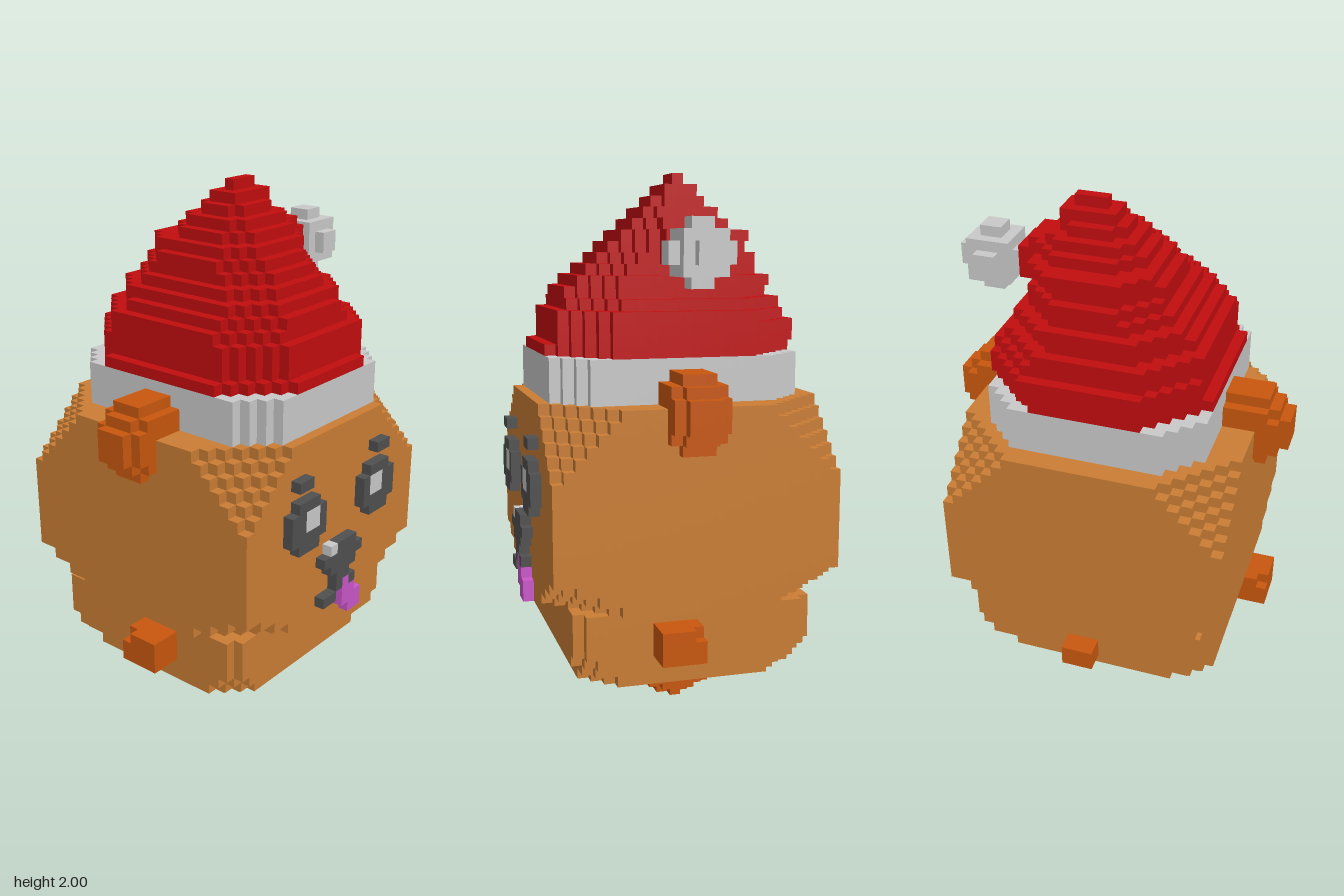
import * as THREE from 'three';

const U = 2 / 48; // size of one cube; all positions below are counted in cubes

const paint = (name, color) => {
  const m = new THREE.MeshStandardMaterial({ color });
  m.name = name;
  return m;
};

// Outer faces of all cubes within the bounds [x0, x1, y0, y1, z0, z1] that pass the test
function cubes(name, material, bounds, test = () => true) {
  const [x0, x1, y0, y1, z0, z1] = bounds;
  const inside = (x, y, z) =>
    x > x0 && x < x1 && y > y0 && y < y1 && z > z0 && z < z1 && test(x, y, z);
  const pos = [], nor = [], index = [];
  const addFace = (c, axis, side) => {
    const a = (axis + 1) % 3, b = (axis + 2) % 3, start = pos.length / 3;
    for (const [s, t] of [[-1, -1], [1, -1], [1, 1], [-1, 1]]) {
      const p = [...c], n = [0, 0, 0];
      p[axis] += side / 2;
      p[a] += s / 2;
      p[b] += t / 2;
      n[axis] = side;
      pos.push(...p.map((v) => v * U));
      nor.push(...n);
    }
    const order = side > 0 ? [0, 1, 2, 0, 2, 3] : [0, 2, 1, 0, 3, 2];
    index.push(...order.map((i) => start + i));
  };
  for (let x = x0 + 0.5; x < x1; x++)
    for (let y = y0 + 0.5; y < y1; y++)
      for (let z = z0 + 0.5; z < z1; z++) {
        if (!inside(x, y, z)) continue;
        for (let axis = 0; axis < 3; axis++)
          for (const side of [-1, 1]) {
            const n = [x, y, z];
            n[axis] += side;
            if (!inside(...n)) addFace([x, y, z], axis, side);
          }
      }
  const g = new THREE.BufferGeometry();
  g.setAttribute('position', new THREE.Float32BufferAttribute(pos, 3));
  g.setAttribute('normal', new THREE.Float32BufferAttribute(nor, 3));
  g.setIndex(index);
  const mesh = new THREE.Mesh(g, material);
  mesh.name = name;
  return mesh;
}

// Distance of a cube centre from the nearer of two ends
const edge = (v, lo, hi) => Math.min(v - lo, hi - v);

export function createModel() {
  const fur = paint('fur', 0xca7d34);
  const orange = paint('darkOrange', 0xc8570e);
  const red = paint('hatRed', 0xc20d0f);
  const white = paint('white', 0xc9c9c9);
  const dark = paint('charcoal', 0x505050);
  const pink = paint('tonguePink', 0xc957c9);

  const model = new THREE.Group();
  model.name = 'toyAnimal';
  const add = (...args) => model.add(cubes(...args));

  // Head: a block with stepped corners
  add('head', fur, [-13, 13, 10, 28, -13.5, 12.5], (x, y, z) => {
    const dx = edge(x, -13, 13), dz = edge(z, -13.5, 12.5);
    return dx + dz + 28 - y > 7.4 && (dx + dz) / 6 + (y - 10) / 3 > 1.25;
  });

  // Body: narrower block, drawn in by one cube at the bottom
  add('body', fur, [-12, 12, 3, 10, -11.5, 10.5], (x, y, z) => {
    const dx = edge(x, -12, 12), dz = edge(z, -11.5, 10.5);
    return dx + dz > 1.2 && (y > 5 || Math.min(dx, dz) > 1) && dx + dz + (y - 3) * 1.5 > 6;
  });

  // Ears, arms and feet, mirrored
  for (const s of [-1, 1]) {
    const side = s > 0 ? 'left' : 'right';
    const span = (a, b) => (s > 0 ? [a, b] : [-b, -a]);
    add(side + 'Ear', orange, [...span(9, 16), 24, 31, -3.5, 3.5], (x, y, z) =>
      ((s * x - 11) / 5.2) ** 2 + ((y - 27.5) / 3.8) ** 2 + (z / 2.9) ** 2 < 1);
    add(side + 'Arm', orange, [...span(11, 15), 6, 9, -0.5, 3.5], (x, y, z) =>
      !(s * x > 14 && z < 0.5 && y > 8));
    add(side + 'Foot', orange, [...span(1, 9), 0, 3, -3.5, 3.5], (x, y, z) => {
      const inset = 2.5 - y;
      const dx = 4 - Math.abs(s * x - 5) - inset, dz = 3.5 - Math.abs(z) - inset;
      return dx > 0 && dz > 0 && dx + dz > 1.2;
    });
  }
  add('tail', orange, [-1, 2, 5, 7, -13.5, -11.5]);

  // Hat: white band, then leaning red layers [x0, x1, z0, z1]
  add('hatBand', white, [-10, 10, 28, 32, -11.5, 11.5], (x, y, z) =>
    edge(x, -10, 10) + edge(z, -11.5, 11.5) > 3.2);
  const layers = [
    [-10, 10, -11.5, 11.5], [-9, 10, -11.5, 10.5], [-9, 10, -11.5, 10.5], [-9, 10, -10.5, 10.5],
    [-9, 9, -10.5, 9.5], [-8, 8, -9.5, 9.5], [-7, 8, -9.5, 8.5], [-6, 7, -8.5, 7.5],
    [-5, 7, -8.5, 6.5], [-5, 7, -7.5, 5.5], [-4, 7, -7.5, 4.5], [-3, 7, -5.5, 3.5],
    [-2, 6, -4.5, 2.5], [-1, 5, -3.5, 1.5], [0, 5, -2.5, 0.5], [1, 4, -1.5, -0.5],
  ];
  add('hat', red, [-10, 10, 32, 48, -11.5, 11.5], (x, y, z) => {
    const [x0, x1, z0, z1] = layers[Math.floor(y) - 32];
    const dx = edge(x, x0, x1), dz = edge(z, z0, z1);
    const tip = x > 4 && x < (y < 43 ? 9 : 8) && y > 40 && y < 44 && z > -2.5 && z < 1.5;
    return tip || (dx > 0 && dz > 0 && dx + dz > 0.26 * Math.min(x1 - x0, z1 - z0));
  });
  add('pompom', white, [9, 15, 38, 44, -3.5, 2.5], (x, y, z) =>
    (x - 12) ** 2 + (y - 41) ** 2 + (z + 0.5) ** 2 < 7);

  // Face details stand one cube proud of the head: rows of [x0, x1, y0, y1]
  const facePart = (name, material, rects) => {
    const xs = rects.flatMap((r) => [r[0], r[1]]), ys = rects.flatMap((r) => [r[2], r[3]]);
    add(name, material,
      [Math.min(...xs), Math.max(...xs), Math.min(...ys), Math.max(...ys), 12.5, 13.5],
      (x, y) => rects.some(([a, b, c, d]) => x > a && x < b && y > c && y < d));
  };
  // Eyes are rings around a flush white glint
  for (const [side, x, brow] of [['right', -8, -7], ['left', 3, 5]]) {
    const g = side === 'right' ? x + 2 : x + 1;
    facePart(side + 'Eye', dark, [
      [x + 1, x + 4, 22, 23], [x, g, 19, 22], [g + 2, x + 5, 19, 22],
      [g, g + 2, 19, 20], [x + 1, x + 4, 18, 19],
    ]);
    facePart(side + 'EyeGlint', white, [[g, g + 2, 20, 22]]);
    facePart(side + 'Brow', dark, [[brow, brow + 2, 24, 25]]);
  }
  facePart('nose', dark, [
    [-1, 2, 16, 17], [-3, 3, 15, 16], [-2, 2, 14, 15], [-1, 1, 13, 14], [-1, 0, 12, 13],
  ]);
  facePart('noseGlint', white, [[-2, -1, 16, 17]]);
  facePart('mouthRight', dark, [[-3, -1, 11, 12]]);
  facePart('mouthLeft', dark, [[1, 2, 12, 13]]);
  facePart('tongue', pink, [[0, 1, 12, 13], [0, 2, 11, 12], [0, 3, 10, 11], [1, 3, 9, 10]]);

  return model;
}
